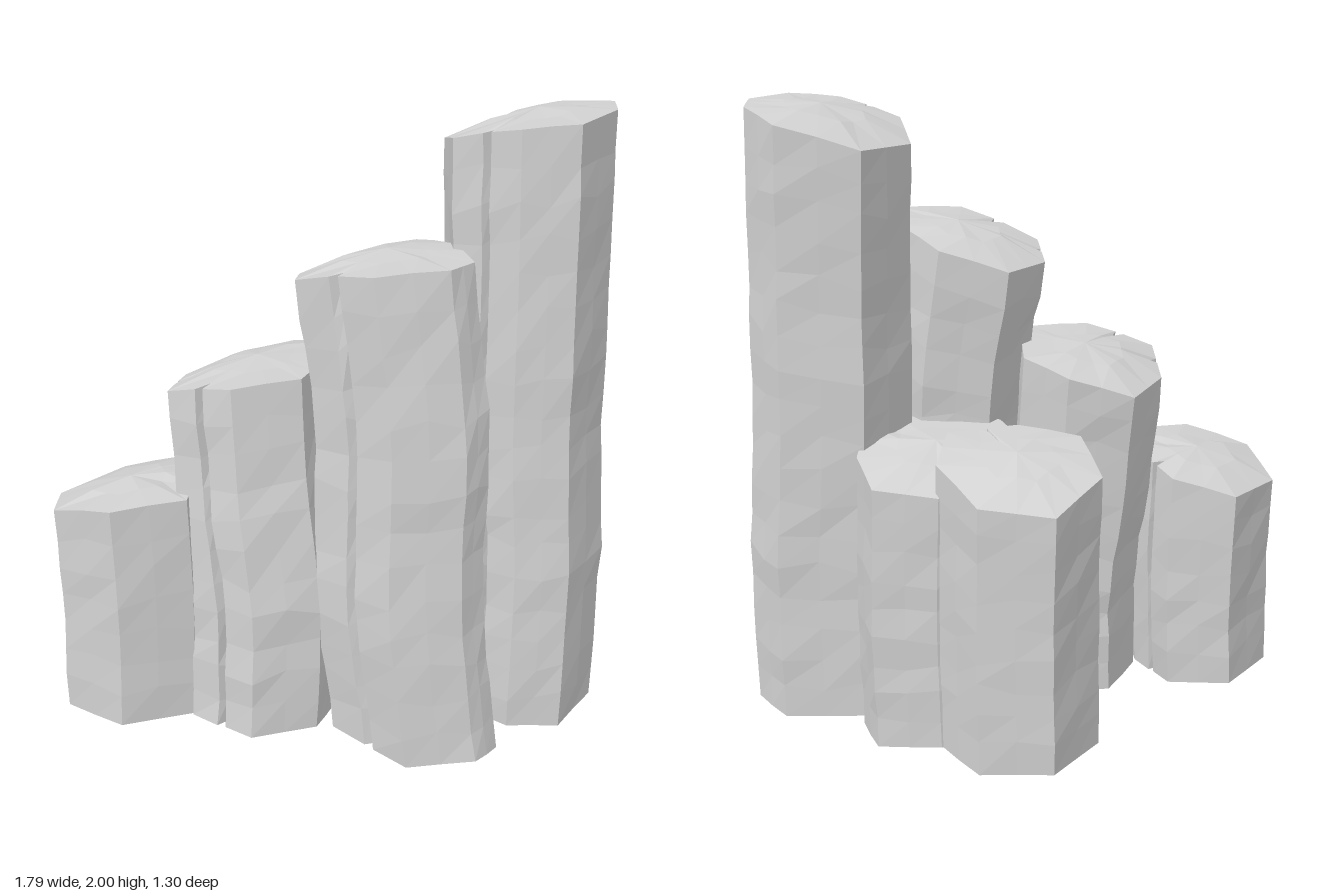
import * as THREE from 'three';

// Each column: height, top outline [x, z] (clockwise from the back left),
// bend = sideways shift [x, z] from base to top, cracks = edges split by a notch,
// dip = direction [x, z] in which the top falls away.
const LEFT_BACK = [-0.8, -0.6];
const BACK = [-0.2, -0.98];
const COLUMNS = [
  { name: 'shortLeftColumn', h: 0.8, dip: LEFT_BACK, cracks: [1], bend: [[0.0, 0.0], [0.01, 0], [0, 0]],
    top: [[-0.72, -0.085], [-0.51, -0.05], [-0.43, 0.15], [-0.44, 0.38], [-0.67, 0.46], [-0.87, 0.35], [-0.9, 0.11]] },
  { name: 'mediumLeftColumn', h: 1.2, dip: LEFT_BACK, cracks: [5, 6], bend: [[0.05, 0.1], [0.06, 0.08], [0.02, 0.04], [0, 0]],
    top: [[-0.35, -0.18], [-0.14, -0.16], [-0.01, -0.04], [-0.03, 0.2], [-0.08, 0.34], [-0.29, 0.41], [-0.5, 0.29], [-0.48, 0.03]] },
  { name: 'tallFrontColumn', h: 1.6, dip: LEFT_BACK, cracks: [5, 6], bend: [[0.12, 0.12], [0.06, 0.09], [0.06, 0.05], [0, 0]],
    top: [[0.04, -0.06], [0.26, -0.03], [0.37, 0.17], [0.43, 0.4], [0.36, 0.48], [0.14, 0.53], [-0.1, 0.31], [-0.1, 0.12]] },
  { name: 'tallestRightColumn', h: 2.0, dip: LEFT_BACK, cracks: [5], bend: [[0.035, 0.02], [0.04, 0.02], [0.015, 0.01], [0.01, 0.01], [0, 0]],
    top: [[0.5, -0.2], [0.76, -0.17], [0.85, 0.0], [0.84, 0.17], [0.72, 0.37], [0.55, 0.38], [0.36, 0.25], [0.34, 0.0]] },
  { name: 'backColumn', h: 0.98, dip: BACK, cracks: [3], bend: [[0.0, 0.0], [0.005, 0.005], [0, 0]],
    top: [[-0.03, -0.655], [0.2, -0.625], [0.305, -0.41], [0.25, -0.18], [0.02, -0.12], [-0.17, -0.22], [-0.2, -0.46]] },
  { name: 'backInnerColumn', h: 0.965, dip: BACK, cracks: [], bend: [[0.0, 0.0], [0.01, 0.0], [0, 0]],
    top: [[0.3, -0.43], [0.5, -0.4], [0.54, -0.23], [0.5, 0.0], [0.28, 0.1], [0.06, 0.03], [0.01, -0.1], [0.1, -0.35]] },
];

function seeded(seed) {
  let s = seed;
  return () => (s = (s * 16807) % 2147483647) / 2147483647;
}

function columnGeometry({ h, top, bend, cracks, dip }, seed) {
  const random = seeded(seed);
  const jitter = (a) => (random() - 0.5) * 2 * a;
  const cx = top.reduce((s, p) => s + p[0], 0) / top.length;
  const cz = top.reduce((s, p) => s + p[1], 0) / top.length;

  // Outline with a midpoint on every edge, and a narrow notch on cracked edges
  const outline = [];
  top.forEach(([x, z], i) => {
    const [nx, nz] = top[(i + 1) % top.length];
    const at = (t, pull = 0) => ({ x: x + (nx - x) * t, z: z + (nz - z) * t, pull });
    outline.push({ ...at(0), corner: true });
    if (cracks.includes(i)) outline.push(at(0.44), at(0.5, 0.17), at(0.56));
    else outline.push(at(0.5));
  });
  const n = outline.length;

  // How far the rim falls below the full height
  const drop = (p) => {
    const t = ((p.x - cx) * dip[0] + (p.z - cz) * dip[1]) / 0.25;
    return 0.12 * Math.max(0, (t + 1) / 2) ** 1.6;
  };

  const path = new THREE.CatmullRomCurve3(bend.map(([x, z]) => new THREE.Vector3(x, 0, z)));
  const levels = Math.round(h * 9);
  const positions = [];
  for (let j = 0; j <= levels; j++) {
    const t = j / levels;
    const shift = path.getPoint(t);
    const swell = j === levels ? 0 : jitter(0.012);
    outline.forEach((p) => {
      const rough = j === levels ? 0 : jitter(p.corner ? 0.012 : 0.016);
      const k = 1 + swell + rough - p.pull + (p.pull ? jitter(0.06) : 0);
      const sag = j > 0 && j < levels ? jitter(0.02) : 0;
      const y = 0.012 + t * (h - drop(p) - 0.012) + sag;
      positions.push(cx + (p.x - cx) * k + shift.x, y, cz + (p.z - cz) * k + shift.z);
    });
  }

  // Inner ring and centre of the uneven top, then the centre of the base
  const inner = positions.length / 3;
  outline.forEach((p) => {
    positions.push(cx + (p.x - cx) * 0.5, h - 0.4 * drop(p) - 0.006 + jitter(0.006), cz + (p.z - cz) * 0.5);
  });
  const peak = inner + n;
  positions.push(cx, h - 0.01, cz);
  positions.push(cx + bend[0][0], 0, cz + bend[0][1]);

  const index = [];
  for (let i = 0; i < n; i++) {
    const k = (i + 1) % n;
    for (let j = 0; j < levels; j++) {
      const a = j * n + i, b = j * n + k, c = a + n, d = b + n;
      index.push(a, c, b, b, c, d);
    }
    const a = levels * n + i, b = levels * n + k;
    index.push(a, inner + i, b, b, inner + i, inner + k);
    index.push(inner + i, peak, inner + k);
    index.push(i, k, peak + 1);
  }
  const geometry = new THREE.BufferGeometry();
  geometry.setAttribute('position', new THREE.Float32BufferAttribute(positions, 3));
  geometry.setIndex(index);
  const faceted = geometry.toNonIndexed();
  faceted.computeVertexNormals();
  return faceted;
}

export function createModel() {
  const group = new THREE.Group();
  group.name = 'rockColumns';
  const stone = new THREE.MeshStandardMaterial({ color: 0xd2d2d2 });
  stone.name = 'greyStone';
  COLUMNS.forEach((column, i) => {
    const mesh = new THREE.Mesh(columnGeometry(column, 1237 + i * 7919), stone);
    mesh.name = column.name;
    group.add(mesh);
  });
  return group;
}
